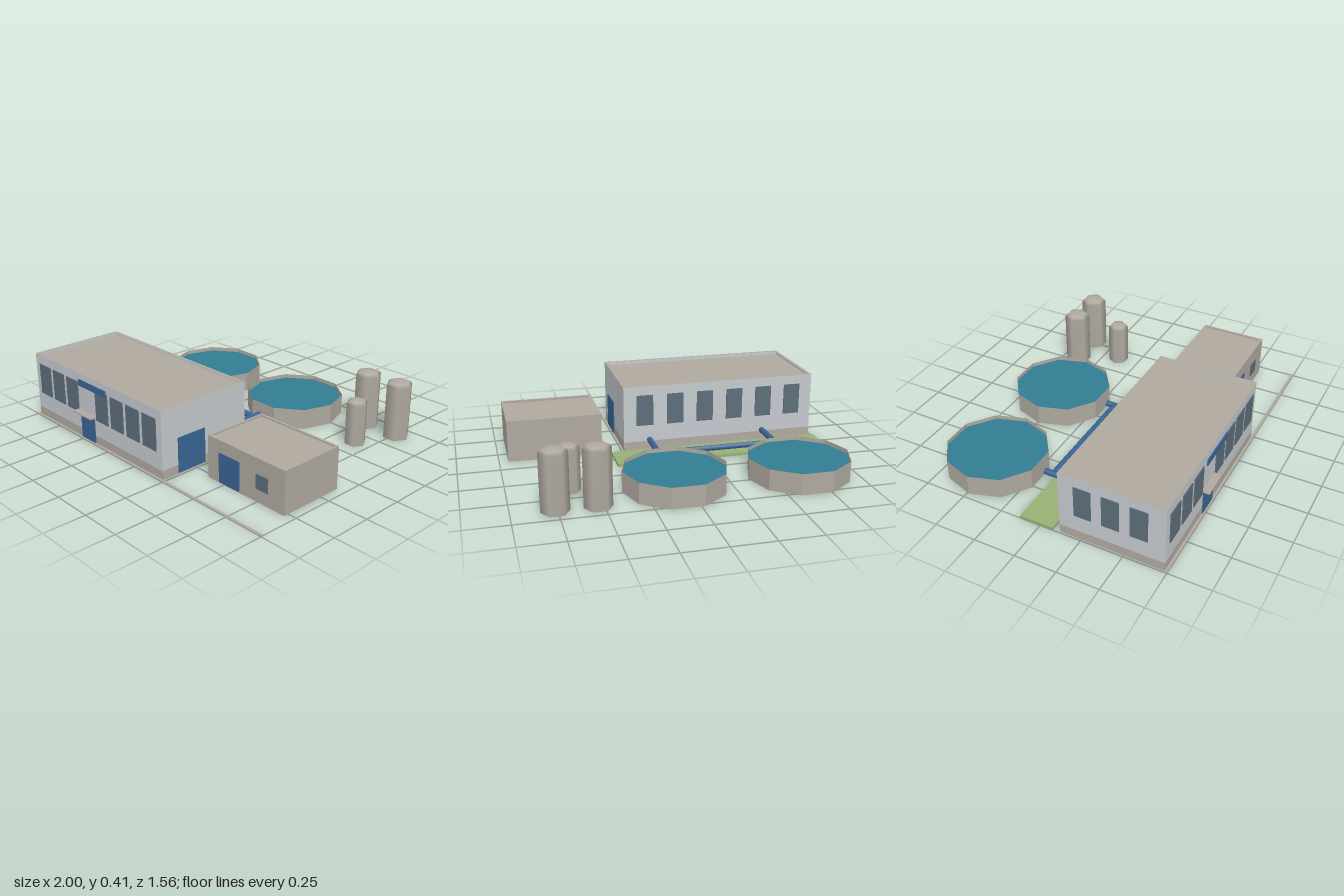
import * as THREE from 'three';

const mat = (name, color, side = THREE.FrontSide) => {
  const m = new THREE.MeshStandardMaterial({ color, side });
  m.name = name;
  return m;
};

export function createModel() {
  const model = new THREE.Group();
  model.name = 'treatmentPlant';
  const D = THREE.DoubleSide;
  const wall = mat('paleWall', 0xc5cace, D);
  const stone = mat('warmConcrete', 0xafa99f, D);
  const water = mat('tealWater', 0x337d93, D);
  const grass = mat('grassGreen', 0x98b175);
  const blue = mat('paintedBlue', 0x3a6594);
  const glass = mat('windowGlass', 0x5d6e7a);

  const add = (name, geo, material, x = 0, y = 0, z = 0, parent = model) => {
    const m = new THREE.Mesh(geo, material);
    m.name = name;
    m.position.set(x, y, z);
    parent.add(m);
    return m;
  };
  // Box given by its limits on each axis
  const block = (name, material, x0, x1, y0, y1, z0, z1, parent = model) =>
    add(name, new THREE.BoxGeometry(x1 - x0, y1 - y0, z1 - z0), material,
      (x0 + x1) / 2, (y0 + y1) / 2, (z0 + z1) / 2, parent);

  // Open band of four walls, facing outwards
  const wallLoop = (x0, x1, y0, y1, z0, z1) => {
    const c = [[x0, z1], [x1, z1], [x1, z0], [x0, z0]];
    const pos = [], index = [];
    c.forEach(([ax, az], i) => {
      const [bx, bz] = c[(i + 1) % 4];
      const k = i * 4;
      pos.push(ax, y0, az, bx, y0, bz, bx, y1, bz, ax, y1, az);
      index.push(k, k + 1, k + 2, k, k + 2, k + 3);
    });
    const g = new THREE.BufferGeometry();
    g.setAttribute('position', new THREE.Float32BufferAttribute(pos, 3));
    g.setIndex(index);
    g.computeVertexNormals();
    return g;
  };
  // Flat rectangle, optionally with a hole, facing up
  const rect = (T, x0, x1, z0, z1) => {
    const s = new T();
    s.moveTo(x0, -z1).lineTo(x1, -z1).lineTo(x1, -z0).lineTo(x0, -z0).closePath();
    return s;
  };
  const roofAndRim = (x0, x1, z0, z1, top, drop, rim, parent) => {
    const flat = s => new THREE.ShapeGeometry(s).rotateX(-Math.PI / 2);
    add('roof', flat(rect(THREE.Shape, x0, x1, z0, z1)), stone, 0, top - drop, 0, parent);
    const ring = rect(THREE.Shape, x0, x1, z0, z1);
    ring.holes.push(rect(THREE.Path, x0 + rim, x1 - rim, z0 + rim, z1 - rim));
    add('parapetRim', flat(ring), stone, 0, top, 0, parent);
  };

  // Main hall
  const [X0, X1, Z0, Z1, T] = [-0.99, 0.235, 0.12, 0.735, 0.006];
  const hall = new THREE.Group();
  hall.name = 'mainHall';
  model.add(hall);
  add('plinth', wallLoop(X0, X1, 0, 0.055, Z0, Z1), stone, 0, 0, 0, hall);
  add('walls', wallLoop(X0, X1, 0.055, 0.41, Z0, Z1), wall, 0, 0, 0, hall);
  roofAndRim(X0, X1, Z0, Z1, 0.41, 0.025, 0.02, hall);

  // Front windows, leaving the entrance bay free
  for (let i = 0; i < 8; i++) {
    if (i === 3) continue;
    const x = -0.888 + i * 0.1457;
    block('frontWindow', glass, x - 0.058, x + 0.058, 0.16, 0.353, Z1, Z1 + T, hall);
  }
  // Back and side windows
  for (let i = 0; i < 6; i++) {
    const x = -0.858 + i * 0.192;
    block('backWindow', glass, x - 0.052, x + 0.052, 0.16, 0.353, Z0 - T, Z0, hall);
  }
  for (let i = 0; i < 3; i++) {
    const z = 0.263 + i * 0.162;
    block('sideWindow', glass, X0 - T, X0, 0.16, 0.353, z - 0.05, z + 0.05, hall);
  }
  // Entrance, canopy, blank sign board and side gate
  block('frontDoor', blue, -0.519, -0.385, 0.005, 0.16, Z1, Z1 + T, hall);
  block('canopy', stone, -0.54, -0.365, 0.172, 0.18, Z1, 0.78, hall);
  block('signBoard', blue, -0.513, -0.248, 0.34, 0.38, 0.744, 0.75, hall);
  block('sideGate', blue, X1, X1 + T, 0.008, 0.22, 0.43, 0.624, hall);

  // Small annex
  const annex = new THREE.Group();
  annex.name = 'annex';
  model.add(annex);
  add('walls', wallLoop(0.374, 0.945, 0, 0.255, 0.12, 0.528), stone, 0, 0, 0, annex);
  roofAndRim(0.374, 0.945, 0.12, 0.528, 0.255, 0.018, 0.015, annex);
  block('annexDoor', blue, 0.465, 0.618, 0.005, 0.182, 0.528, 0.534, annex);
  block('annexWindow', glass, 0.743, 0.829, 0.08, 0.165, 0.528, 0.534, annex);

  // Settling basins and their outlet pipes
  const pipe = length => new THREE.CylinderGeometry(0.018, 0.018, length, 8);
  const basinX = [-0.665, 0.073];
  for (const x of basinX) {
    const side = new THREE.CylinderGeometry(0.302, 0.302, 0.125, 10, 1, true, Math.PI / 2).toNonIndexed();
    side.computeVertexNormals();
    add('basinWall', side, stone, x, 0.0625, -0.488);
    const surface = new THREE.CircleGeometry(0.302, 10).rotateX(-Math.PI / 2);
    add('basinWater', surface, water, x, 0.1, -0.488);
    add('outletPipe', pipe(0.29).rotateX(Math.PI / 2), blue, x, 0.063, -0.025);
  }
  add('crossPipe', pipe(basinX[1] - basinX[0]).rotateZ(Math.PI / 2), blue,
    (basinX[0] + basinX[1]) / 2, 0.063, -0.115);

  // Storage silos with shallow domes
  for (const [x, z, r, h] of [[0.533, -0.64, 0.08, 0.36], [0.763, -0.64, 0.08, 0.36], [0.651, -0.391, 0.064, 0.28]]) {
    const profile = [[r, 0], [r, h - 0.025], [r * 0.8, h - 0.008], [r * 0.4, h - 0.001], [0, h]]
      .map(p => new THREE.Vector2(...p));
    add('silo', new THREE.LatheGeometry(profile, 6, Math.PI / 2), stone, x, 0, z);
  }

  // Lawn and front kerb
  block('lawn', grass, -1, 0.322, 0, 0.018, -0.125, 0.08);
  block('kerb', stone, -1, 1, 0, 0.004, 0.733, 0.75);

  return model;
}
